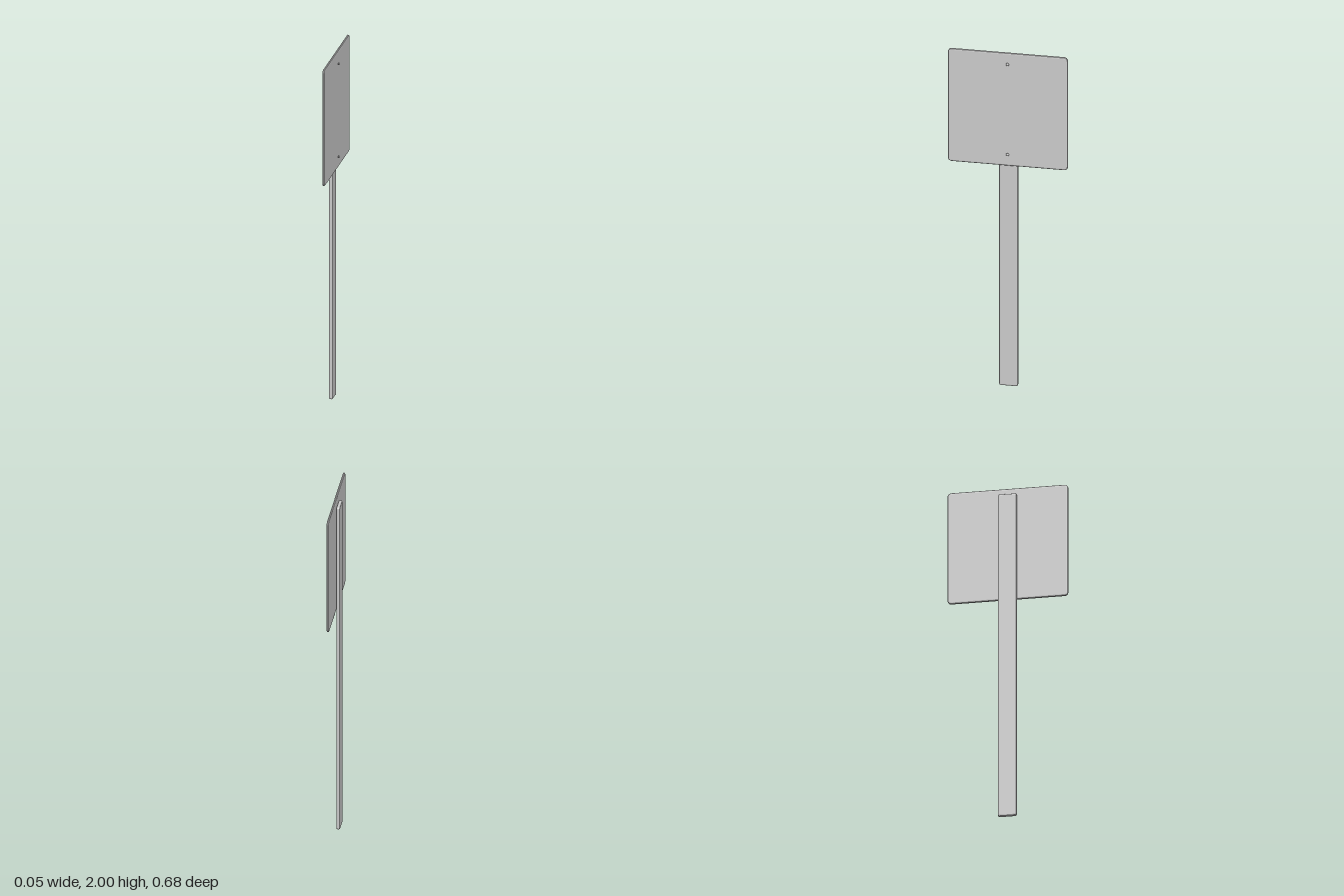
import * as THREE from 'three';

const grey = new THREE.MeshStandardMaterial({ color: 0xcccccc });

// Upright rounded slab with bevelled rims, its broad faces pointing along x
function slab(name, { width, y0, y1, x0, x1, radius, bevel, rim, segments }) {
  const w = width / 2 - bevel, b = y0 + bevel, t = y1 - bevel, r = radius;
  const s = new THREE.Shape();
  s.moveTo(-w + r, b);
  s.lineTo(w - r, b);
  s.absarc(w - r, b + r, r, -Math.PI / 2, 0);
  s.lineTo(w, t - r);
  s.absarc(w - r, t - r, r, 0, Math.PI / 2);
  s.lineTo(-w + r, t);
  s.absarc(-w + r, t - r, r, Math.PI / 2, Math.PI);
  s.lineTo(-w, b + r);
  s.absarc(-w + r, b + r, r, Math.PI, Math.PI * 1.5);
  const geo = new THREE.ExtrudeGeometry(s, {
    depth: x1 - x0 - 2 * rim,
    bevelThickness: rim,
    bevelSize: bevel,
    bevelSegments: segments,
    curveSegments: 5,
  });
  geo.rotateY(Math.PI / 2);
  geo.translate(x0 + rim, 0, 0);
  const mesh = new THREE.Mesh(geo, grey);
  mesh.name = name;
  return mesh;
}

// Small domed fastener head with a flat back, facing +x
function screwHead(y) {
  const profile = [new THREE.Vector2(0, 0)];
  for (let i = 0; i <= 5; i++) {
    const a = (i / 5) * Math.PI / 2;
    profile.push(new THREE.Vector2(0.009 * Math.cos(a), 0.0065 * Math.sin(a)));
  }
  const geo = new THREE.LatheGeometry(profile, 16);
  geo.rotateZ(-Math.PI / 2);
  const mesh = new THREE.Mesh(geo, grey);
  mesh.position.set(0.0175, y, 0);
  mesh.name = 'screwHead';
  return mesh;
}

export function createModel() {
  const sign = new THREE.Group();
  sign.name = 'signPost';

  // Flat post behind the panel
  sign.add(slab('post', {
    width: 0.106, y0: 0, y1: 1.96, x0: -0.026, x1: -0.005,
    radius: 0.003, bevel: 0.008, rim: 0.006, segments: 2,
  }));

  // Square panel with rounded corners
  sign.add(slab('panel', {
    width: 0.676, y0: 1.325, y1: 2, x0: -0.003, x1: 0.01,
    radius: 0.012, bevel: 0.009, rim: 0.004, segments: 2,
  }));

  // Fasteners near the top and bottom of the panel
  for (const y of [1.935, 1.395]) sign.add(screwHead(y));

  return sign;
}
